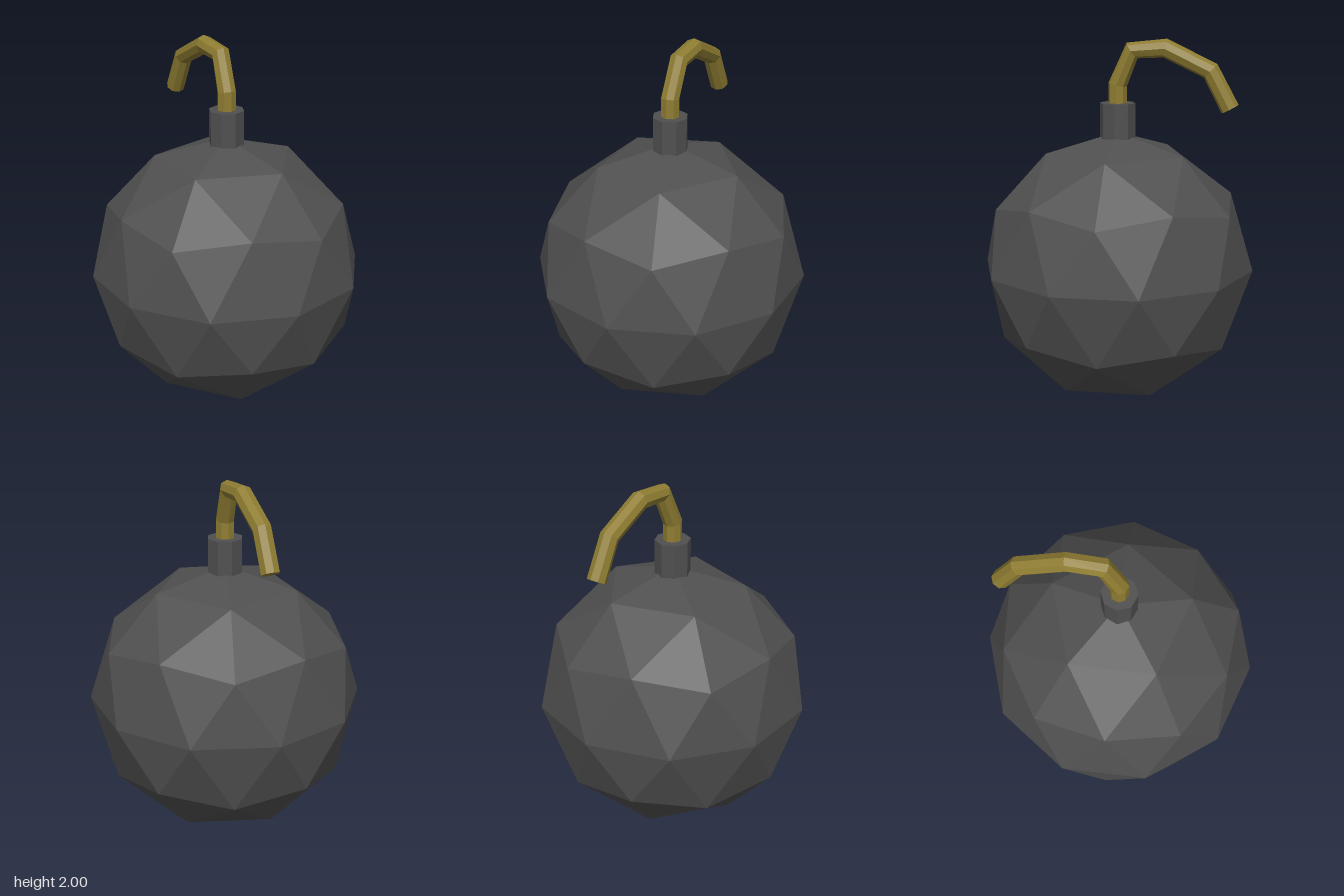
import * as THREE from 'three';

const paint = (color) => new THREE.MeshStandardMaterial({ color, flatShading: true });

function addPart(group, name, geometry, material) {
  const mesh = new THREE.Mesh(geometry, material);
  mesh.name = name;
  group.add(mesh);
  return mesh;
}

// Octagonal rod whose rows of vertices are moved onto a bent centre line
function bentRod(points, radius) {
  const last = points.length - 1;
  const geometry = new THREE.CylinderGeometry(radius, radius, 1, 8, last);
  const pos = geometry.attributes.position;
  for (let v = 0; v < pos.count; v++) {
    const i = Math.round((pos.getY(v) + 0.5) * last);
    const p = points[i];
    // The row faces halfway between the segments that meet here
    const tangent = new THREE.Vector3();
    if (i > 0) tangent.add(p.clone().sub(points[i - 1]).normalize());
    if (i < last) tangent.add(points[i + 1].clone().sub(p).normalize());
    tangent.setX(0).normalize();
    const z = pos.getZ(v);
    pos.setXYZ(v, p.x + pos.getX(v), p.y - tangent.z * z, p.z + tangent.y * z);
  }
  geometry.computeVertexNormals();
  return geometry;
}

export function createModel() {
  const group = new THREE.Group();
  group.name = 'bomb';
  const iron = paint(0x505050);
  const cord = paint(0x8f7d32);

  // Faceted ball, turned so that a corner points straight up
  const ball = new THREE.IcosahedronGeometry(0.747, 1);
  ball.rotateZ(-Math.atan(2 / (1 + Math.sqrt(5))));
  addPart(group, 'body', ball, iron).position.y = 0.747;

  // Octagonal neck, sunk a little into the ball
  const neck = new THREE.CylinderGeometry(0.097, 0.097, 0.21, 8);
  addPart(group, 'neck', neck, iron).position.y = 1.547;

  // Fuse, curling over towards the back
  const path = [
    [0, 1.6, 0], [0, 1.75, 0], [0.01, 1.935, -0.08],
    [0.01, 1.95, -0.26], [0.01, 1.833, -0.503], [0.01, 1.632, -0.609],
  ].map((p) => new THREE.Vector3(...p));
  addPart(group, 'fuse', bentRod(path, 0.051), cord);

  return group;
}
